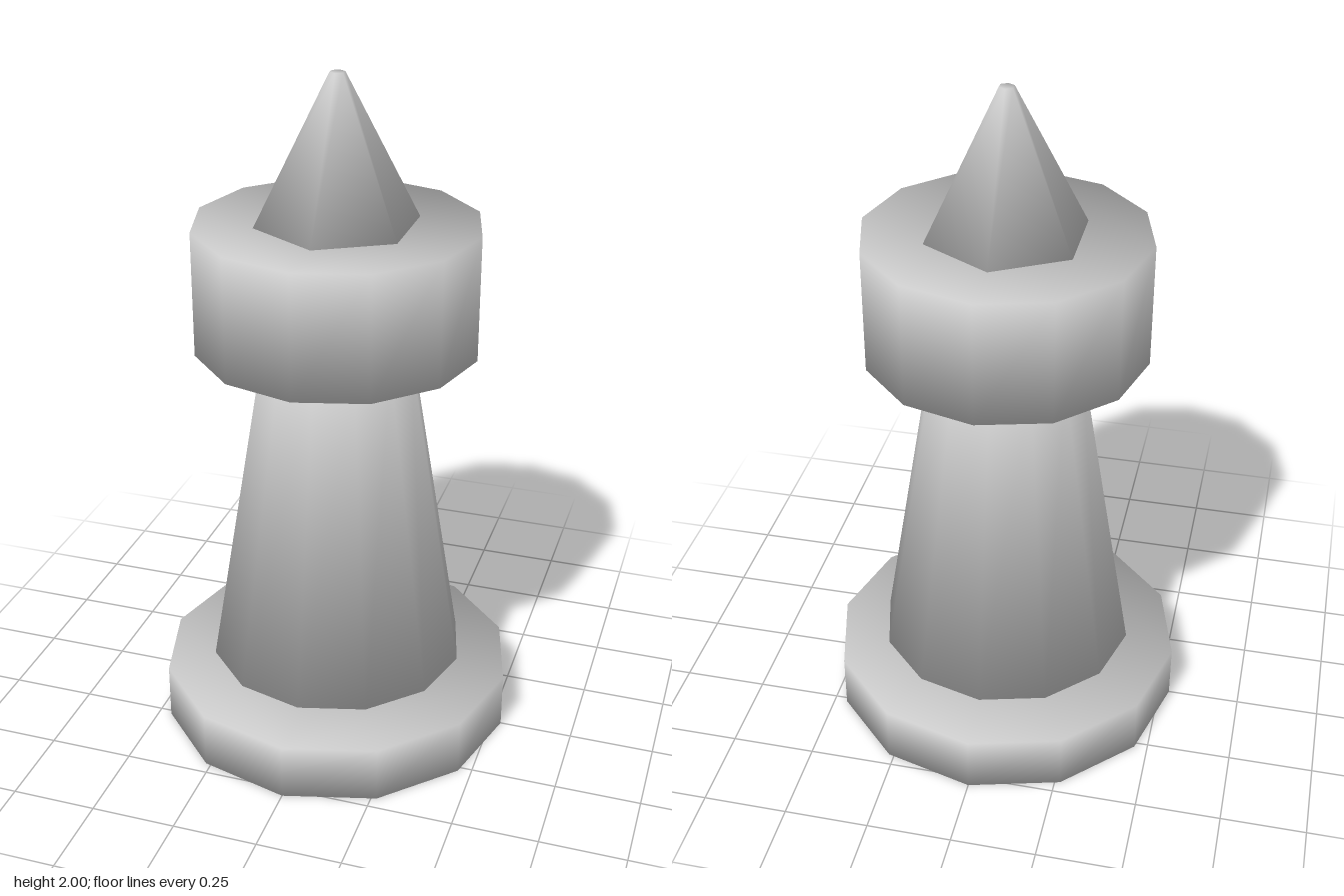
import * as THREE from 'three';

const material = new THREE.MeshStandardMaterial({ color: 0xcccccc });

// Closed n-sided frustum whose smooth normals run over the rims into the caps
// (angle-weighted average of the two walls and the cap at each corner).
function frustum(name, sides, rBottom, rTop, y0, y1) {
  const half = Math.PI / sides, d = rBottom - rTop, h = y1 - y0;
  const slant = Math.hypot(h, d * Math.cos(half));
  const wallOut = h / slant, wallUp = d * Math.cos(half) / slant;
  const baseAngle = Math.atan2(slant, d * Math.sin(half));
  const capAngle = Math.PI - 2 * half;
  const pos = [], nor = [], index = [];

  for (const [r, y, angle, up] of [[rBottom, y0, baseAngle, -1], [rTop, y1, Math.PI - baseAngle, 1]]) {
    const out = 2 * angle * wallOut * Math.cos(half);
    const rise = 2 * angle * wallUp + up * capAngle;
    const len = Math.hypot(out, rise);
    for (let i = 0; i < sides; i++) {
      const s = Math.sin(2 * half * i), c = Math.cos(2 * half * i);
      pos.push(r * s, y, r * c);
      nor.push(out * s / len, rise / len, out * c / len);
    }
  }
  // Walls
  for (let i = 0; i < sides; i++) {
    const j = (i + 1) % sides;
    index.push(i, j, sides + j, i, sides + j, sides + i);
  }
  // Bottom and top caps
  for (let i = 1; i < sides - 1; i++) {
    index.push(0, i + 1, i, sides, sides + i, sides + i + 1);
  }
  const geo = new THREE.BufferGeometry();
  geo.setAttribute('position', new THREE.Float32BufferAttribute(pos, 3));
  geo.setAttribute('normal', new THREE.Float32BufferAttribute(nor, 3));
  geo.setIndex(index);
  const mesh = new THREE.Mesh(geo, material);
  mesh.name = name;
  return mesh;
}

export function createModel() {
  const tower = new THREE.Group();
  tower.name = 'tower';
  tower.add(
    frustum('base', 12, 0.532, 0.532, 0, 0.17),
    frustum('column', 12, 0.385, 0.22, 0.21, 1.2),
    frustum('drum', 12, 0.411, 0.411, 1.215, 1.58),
    frustum('spire', 6, 0.237, 0.022, 1.58, 2),
  );
  return tower;
}
